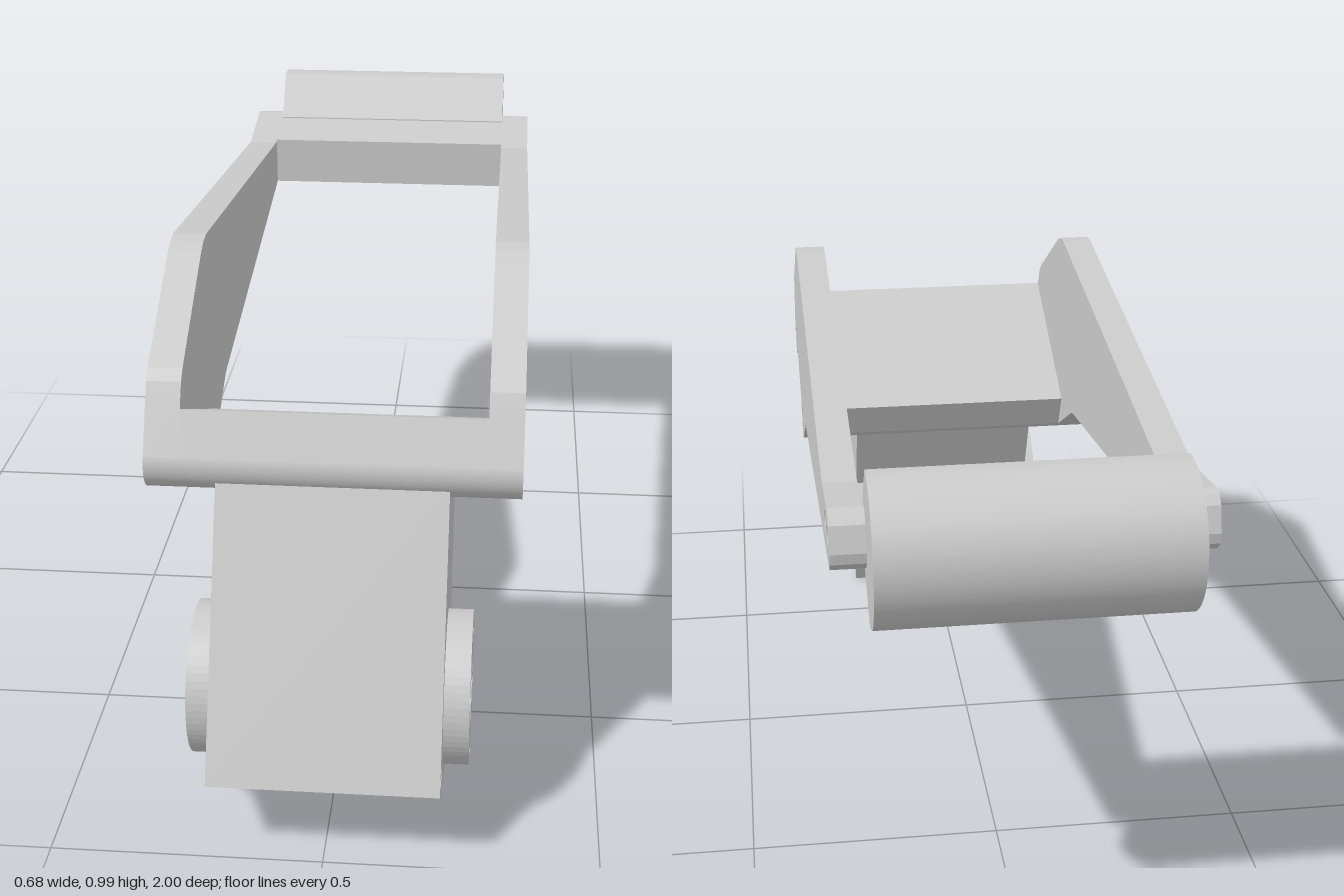
import * as THREE from 'three';

const GREY = new THREE.MeshStandardMaterial({ color: 0xcccccc });
const rad = THREE.MathUtils.degToRad;
const HOLE = 0.02, HOOK = 0.053, TILT = 24.4;
const FRONT_PIN = [0.73, 0.675], LOWER_PIN = [0.463, 0.557];
const REAR_PINS = [[-0.70, 0.83], [-0.79, 0.844]];

// Outline in (z, y) with round holes [z, y, radius]
function profile(draw, holes = []) {
  const s = new THREE.Shape();
  draw(s);
  for (const [z, y, r = HOLE] of holes) {
    s.holes.push(new THREE.Path().absarc(z, y, r, 0, Math.PI * 2, true));
  }
  return s;
}

const lines = (s, pts) => pts.forEach(([z, y]) => s.lineTo(z, y));

function arc(s, [z, y], from, to, r = HOOK, clockwise = false) {
  s.absarc(z, y, r, rad(from), rad(to), clockwise);
}

// Extrudes a side profile across x, from x0 to x1
function across(name, shape, x0, x1, curveSegments = 24) {
  const g = new THREE.ExtrudeGeometry(shape, { depth: x1 - x0, bevelEnabled: false, curveSegments });
  g.rotateY(-Math.PI / 2);
  g.translate(x1, 0, 0);
  const m = new THREE.Mesh(g, GREY);
  m.name = name;
  return m;
}

export function createModel() {
  const model = new THREE.Group();
  model.name = 'armLink';

  // Arm side plates with two round hooks at the front
  const plate = profile(s => {
    arc(s, FRONT_PIN, 180 + TILT, 360 + TILT);
    lines(s, [[0.727, 0.795], [0.715, 0.817], [0.695, 0.835], [0.463, 0.972],
      [0.435, 0.983], [0.40, 0.987], [-0.624, 0.87], [-0.795, 0.9], [-0.815, 0.897],
      [-0.83, 0.882], [-0.845, 0.835], [-0.843, 0.815], [-0.825, 0.797],
      [-0.76, 0.787], [0.21, 0.631], [0.235, 0.625], [0.26, 0.612]]);
    arc(s, LOWER_PIN, 240, 360 + TILT);
    s.closePath();
  }, [FRONT_PIN, LOWER_PIN, ...REAR_PINS]);

  // Front crossbar between the plates, sharing the hooks
  const frontBar = profile(s => {
    arc(s, FRONT_PIN, 180 + TILT, 360 + TILT);
    lines(s, [[0.74, 0.775], [0.37, 0.607], [0.405, 0.53]]);
    arc(s, LOWER_PIN, 240, 360 + TILT);
    s.closePath();
  }, [FRONT_PIN, LOWER_PIN]);
  model.add(across('frontCrossbar', frontBar, -0.275, 0.275));

  // Rear crossbar
  const rearBar = profile(s => {
    s.moveTo(-0.64, 0.873);
    lines(s, [[-0.795, 0.9], [-0.815, 0.897], [-0.83, 0.882], [-0.845, 0.835],
      [-0.843, 0.815], [-0.825, 0.797], [-0.76, 0.787], [-0.64, 0.768]]);
    s.closePath();
  }, REAR_PINS);
  model.add(across('rearCrossbar', rearBar, -0.275, 0.275));

  // Rounded foot drum at the rear end, cut flat toward the arm
  const drum = profile(s => {
    s.moveTo(-0.763, 0.787);
    s.lineTo(-0.763, 0.897);
    arc(s, [-0.863, 0.852], 79, 264, 0.137);
    s.closePath();
  }, [REAR_PINS[1]]);
  model.add(across('footDrum', drum, -0.275, 0.275, 40));

  // Tilted motor housing, notched around the hooks
  const housing = profile(s => {
    s.moveTo(1, 0.155);
    s.lineTo(0.775, 0.65);
    arc(s, FRONT_PIN, 331, 180 + TILT, HOOK, true);
    arc(s, LOWER_PIN, TILT, -104, HOOK, true);
    s.lineTo(0.67, 0.002);
    s.closePath();
  }, [[0.956, 0.171], [0.688, 0.054]]);
  model.add(across('motorHousing', housing, -0.21, 0.21));

  // Hub discs with a centre bore and four bolt holes
  const hub = [0.766, 0.238];
  const bolts = [0, 1, 2, 3].map(i => {
    const a = rad(TILT + 90 * i);
    return [hub[0] + 0.109 * Math.cos(a + rad(1)), hub[1] + 0.109 * Math.sin(a + rad(1))];
  });
  const disc = profile(s => arc(s, hub, 0, 360, 0.143), [[...hub, 0.064], ...bolts]);

  // Mirrored parts, left (+x) and right (-x)
  for (const [side, sx] of [['left', 1], ['right', -1]]) {
    const span = (a, b) => (sx > 0 ? [a, b] : [-b, -a]);
    model.add(across(side + 'ArmPlate', plate, ...span(0.275, 0.338)));
    model.add(across(side + 'HubDisc', disc, ...span(0.21, 0.257), 32));
  }
  return model;
}
